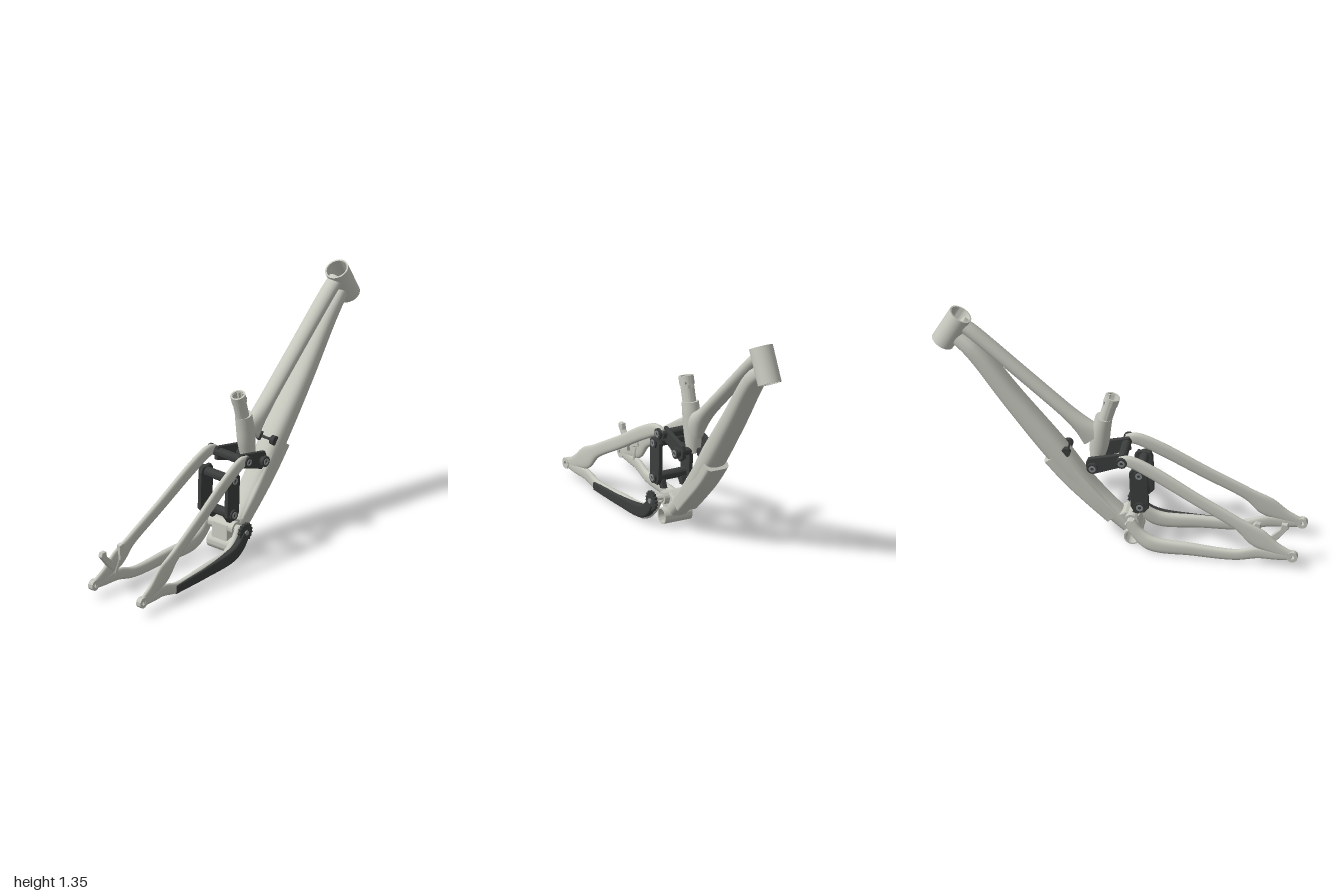
import * as THREE from 'three';
import { toCreasedNormals } from 'three/addons/utils/BufferGeometryUtils.js';

const light = new THREE.MeshStandardMaterial({ color: 0xc6c8be });
const dark = new THREE.MeshStandardMaterial({ color: 0x3c3e3e });
const bolt = new THREE.MeshStandardMaterial({ color: 0x85898a });
const V = (x, y, z = 0) => new THREE.Vector3(x, y, z);

export function createModel() {
  const root = new THREE.Group();

  function add(name, geo, mat = light) {
    const m = new THREE.Mesh(geo, mat);
    m.name = name;
    root.add(m);
    return m;
  }

  // Smooth tube through stations [x, y, z, half height, half width]; power > 2 squares the section
  function sweep(name, stations, mat = light, power = 2, sides = 24) {
    const path = new THREE.CatmullRomCurve3(stations.map(s => V(s[0], s[1], s[2])));
    const size = new THREE.CatmullRomCurve3(stations.map((s, i) => V(s[3], s[4], i * 0.05)));
    const n = (stations.length - 1) * 8, pos = [], idx = [], rings = [];
    const side = V(0, 0, 1);
    const sq = v => Math.sign(v) * Math.abs(v) ** (2 / power);
    for (let i = 0; i <= n; i++) {
      const p = path.getPoint(i / n), s = size.getPoint(i / n);
      const up = side.clone().cross(path.getTangent(i / n)).normalize();
      const ring = [];
      for (let j = 0; j < sides; j++) {
        const a = j / sides * Math.PI * 2;
        const q = p.clone().addScaledVector(up, sq(Math.cos(a)) * s.x).addScaledVector(side, sq(Math.sin(a)) * s.y);
        ring.push(q.x, q.y, q.z);
      }
      rings.push(ring);
      pos.push(...ring);
    }
    for (let i = 0; i < n; i++) for (let j = 0; j < sides; j++) {
      const a = i * sides + j, b = i * sides + (j + 1) % sides;
      idx.push(a, b, a + sides, b, b + sides, a + sides);
    }
    // End caps with their own vertices
    for (const end of [0, n]) {
      const base = pos.length / 3, p = path.getPoint(end / n);
      pos.push(...rings[end], p.x, p.y, p.z);
      for (let j = 0; j < sides; j++) {
        const a = base + j, b = base + (j + 1) % sides;
        idx.push(base + sides, ...(end ? [a, b] : [b, a]));
      }
    }
    const g = new THREE.BufferGeometry();
    g.setAttribute('position', new THREE.Float32BufferAttribute(pos, 3));
    g.setIndex(idx);
    g.computeVertexNormals();
    return add(name, g, mat);
  }

  // Open pipe with wall thickness, or a solid rod when inner is 0, from a to b
  function pipe(name, a, b, outer, inner = 0, mat = light) {
    const d = b.clone().sub(a), len = d.length();
    const pts = [[inner, 0], [outer, 0], [outer, len], [inner, len]];
    if (inner) pts.push([inner, 0]);
    const g = new THREE.LatheGeometry(pts.map(p => new THREE.Vector2(...p)), 40);
    const m = add(name, inner ? toCreasedNormals(g, 0.6) : toCreasedNormals(g.toNonIndexed(), 0.6), mat);
    m.position.copy(a);
    m.quaternion.setFromUnitVectors(V(0, 1, 0), d.normalize());
    return m;
  }
  const axle = (name, x, y, z0, z1, r, mat, inner = 0) => pipe(name, V(x, y, z0), V(x, y, z1), r, inner, mat);

  // Flat plate cut from an outline in x and y, centred at z
  function plate(name, pts, z, t, mat, bevel = 0.004) {
    const shape = new THREE.Shape(pts.map(p => new THREE.Vector2(...p)));
    const g = new THREE.ExtrudeGeometry(shape, {
      depth: t - 2 * bevel, bevelEnabled: bevel > 0, bevelSize: bevel, bevelThickness: bevel, bevelSegments: 2
    });
    g.translate(0, 0, z - t / 2 + bevel);
    return add(name, g, mat);
  }

  // Main triangle
  pipe('headTube', V(0.947, 1.138), V(0.85, 1.318), 0.065, 0.056);
  sweep('topTube', [
    [0.85, 1.265, 0, 0.036, 0.042], [0.78, 1.21, 0, 0.038, 0.044], [0.52, 0.98, 0, 0.037, 0.044],
    [0.28, 0.765, 0, 0.038, 0.045], [0.2, 0.69, 0, 0.05, 0.045], [0.13, 0.62, 0, 0.075, 0.04]
  ]);
  sweep('downTube', [
    [0.89, 1.195, 0, 0.04, 0.045], [0.79, 1.115, 0, 0.048, 0.062], [0.56, 0.81, 0, 0.057, 0.068],
    [0.33, 0.515, 0, 0.065, 0.07], [0.13, 0.265, 0, 0.05, 0.066], [-0.06, 0.09, 0, 0.044, 0.06]
  ], light, 2.6);
  sweep('headGusset', [
    [0.87, 1.24, 0, 0.05, 0.02], [0.8, 1.17, 0, 0.03, 0.018], [0.73, 1.1, 0, 0.015, 0.012]
  ]);
  sweep('downTubeGuard', [
    [0.34, 0.50, 0, 0.066, 0.067], [0.24, 0.375, 0, 0.06, 0.067], [0.13, 0.255, 0, 0.05, 0.067], [0.02, 0.145, 0, 0.044, 0.064]
  ], light, 6);

  // Seat tube with a clamp at its mouth
  sweep('seatTube', [
    [0.075, 0.745, 0, 0.046, 0.046], [0.087, 0.68, 0, 0.05, 0.048],
    [0.1, 0.58, 0, 0.052, 0.046], [0.115, 0.47, 0, 0.036, 0.04]
  ]);
  pipe('seatTubeMouth', V(0.078, 0.7), V(0.03, 0.872), 0.037, 0.029);
  pipe('seatClamp', V(0.042, 0.83), V(0.028, 0.878), 0.041, 0.031);
  for (const z of [-0.013, 0.013])
    plate('clampEar', [[0.05, 0.835], [0.08, 0.825], [0.065, 0.875], [0.045, 0.882]], z, 0.012, light, 0.002);
  axle('clampBolt', 0.065, 0.85, -0.028, 0.028, 0.008, bolt);

  // Bottom bracket and main pivot
  axle('bottomBracket', -0.09, 0.05, -0.082, 0.082, 0.045, light, 0.037);
  plate('pivotBlock', [[-0.12, 0.09], [-0.05, 0.085], [0.01, 0.15], [-0.05, 0.18], [-0.115, 0.165]], 0, 0.11, light, 0.008);
  axle('mainPivot', -0.085, 0.155, -0.125, 0.135, 0.022, light);
  axle('pivotShell', -0.085, 0.155, -0.085, 0.085, 0.036, light);

  // Toothed idler
  const teeth = [];
  for (let i = 0; i < 32; i++) {
    const a = i / 32 * Math.PI * 2, r = i % 2 ? 0.054 : 0.045;
    teeth.push([-0.085 + Math.cos(a) * r, 0.15 + Math.sin(a) * r]);
  }
  plate('idlerSprocket', teeth, 0.145, 0.018, dark, 0.002);
  axle('idlerBolt', -0.085, 0.15, 0.13, 0.162, 0.014, bolt);

  // Rear triangle and linkage, mirrored side to side
  for (const s of [1, -1]) {
    sweep('seatStay', [
      [-0.025, 0.545, s * 0.112, 0.026, 0.016], [-0.08, 0.55, s * 0.115, 0.034, 0.018],
      [-0.2, 0.5, s * 0.122, 0.038, 0.018], [-0.45, 0.36, s * 0.138, 0.036, 0.017],
      [-0.68, 0.235, s * 0.152, 0.037, 0.016], [-0.78, 0.165, s * 0.157, 0.058, 0.015],
      [-0.88, 0.11, s * 0.162, 0.036, 0.014], [-0.965, 0.075, s * 0.166, 0.024, 0.013]
    ], light, 2.6);
    sweep('chainStay', [
      [-0.08, 0.165, s * 0.108, 0.032, 0.018], [-0.125, 0.1, s * 0.113, 0.036, 0.021],
      [-0.2, 0.05, s * 0.124, 0.043, 0.024], [-0.42, 0.043, s * 0.138, 0.036, 0.022],
      [-0.66, 0.041, s * 0.149, 0.031, 0.018], [-0.78, 0.07, s * 0.156, 0.033, 0.015],
      [-0.88, 0.07, s * 0.162, 0.029, 0.014], [-0.965, 0.072, s * 0.166, 0.024, 0.013]
    ], light, 2.6);
    axle('dropout', -0.968, 0.073, s * 0.167 - 0.015, s * 0.167 + 0.015, 0.03, light, 0.012);

    // Rocker and shock link plates
    plate('rockerPlate', [[-0.045, 0.572], [0.145, 0.525], [0.155, 0.5], [0.152, 0.46], [0.12, 0.437], [-0.055, 0.505]], s * 0.081, 0.022, dark);
    plate('linkPlate', [[-0.172, 0.46], [-0.16, 0.487], [-0.095, 0.487], [-0.08, 0.465],
      [-0.088, 0.26], [-0.105, 0.23], [-0.155, 0.228], [-0.178, 0.255]], s * 0.093, 0.024, dark);
    for (const [name, x, y, z] of [['rockerBolt', 0.12, 0.485, 0.113], ['linkTopBolt', -0.13, 0.46, 0.107],
      ['linkBottomBolt', -0.135, 0.26, 0.107], ['stayBolt', -0.04, 0.545, 0.13]]) {
      axle(name + 'Washer', x, y, s * z - 0.008, s * z + 0.008, 0.03, dark);
      axle(name, x, y, s * z - 0.011, s * z + 0.011, 0.019, bolt, 0.009);
    }
    axle('shockMountEnd', 0.275, 0.53, s * 0.045 - 0.013, s * 0.045 + 0.013, 0.026, dark);
    plate('lowerLinkTab', [[-0.15, 0.24], [-0.11, 0.24], [-0.095, 0.205], [-0.12, 0.2]], s * 0.06, 0.03, dark);
  }

  // Cross axles
  axle('rockerAxle', 0.12, 0.485, -0.105, 0.105, 0.022, dark);
  axle('rockerRearAxle', -0.035, 0.54, -0.115, 0.115, 0.025, dark);
  axle('linkTopAxle', -0.13, 0.46, -0.09, 0.09, 0.026, dark);
  axle('linkBottomAxle', -0.135, 0.26, -0.09, 0.09, 0.026, dark);
  axle('shockMountAxle', 0.275, 0.53, -0.05, 0.05, 0.013, dark);
  plate('shockMountFoot', [[0.265, 0.53], [0.285, 0.54], [0.34, 0.5], [0.29, 0.45]], 0, 0.04, dark);

  // Chain guard wrapped round the left chain stay
  sweep('chainGuard', [
    [-0.085, 0.14, 0.142, 0.028, 0.02], [-0.135, 0.085, 0.142, 0.034, 0.021], [-0.2, 0.056, 0.145, 0.036, 0.02],
    [-0.42, 0.042, 0.151, 0.03, 0.017], [-0.68, 0.038, 0.157, 0.024, 0.014]
  ], dark, 5);

  // Brake mount on the right stay
  plate('brakeTabRear', [[-0.943, 0.237], [-0.937, 0.255], [-0.912, 0.255], [-0.905, 0.225], [-0.855, 0.178], [-0.85, 0.13], [-0.885, 0.165]], -0.142, 0.026, light);
  plate('brakeTabFront', [[-0.79, 0.245], [-0.77, 0.25], [-0.75, 0.225], [-0.74, 0.19], [-0.79, 0.17]], -0.142, 0.026, light);
  sweep('stayBrace', [[-0.76, 0.2, -0.152, 0.016, 0.014], [-0.79, 0.14, -0.152, 0.014, 0.014], [-0.81, 0.08, -0.156, 0.016, 0.014]]);

  return root;
}
